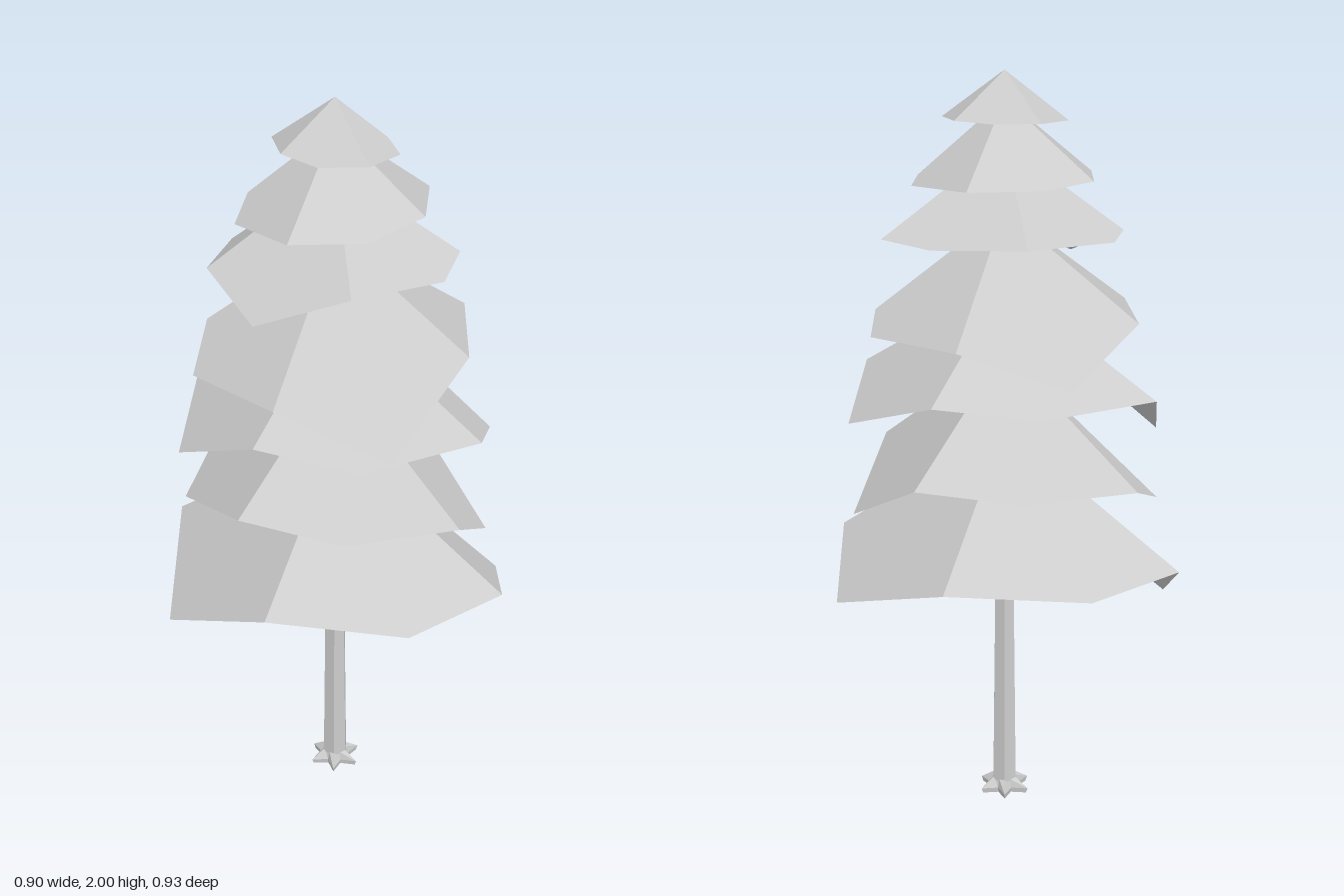
import * as THREE from 'three';

// Each tier: apex height, rim height, half of the rim as [x, z, drop, drop on the opposite side].
// Even points are ridges, odd points are the corners between them.
const TIERS = [
  [2.0, 1.88, [[0, 0.18], [0.11, 0.13], [0.145, 0], [0.11, -0.13]]],
  [1.93, 1.73, [[-0.22, 0.195], [-0.047, 0.27], [0.158, 0.175], [0.275, -0.015]]],
  [1.82, 1.585, [[-0.08, 0.25], [0.175, 0.247], [0.31, 0.09], [0.28, -0.12, 0, 0.08]]],
  [1.65, 1.37, [[-0.315, 0.31], [-0.05, 0.41, 0.16, 0.105], [0.25, 0.255], [0.41, -0.045]]],
  [1.46, 1.2, [[-0.31, 0.17], [-0.13, 0.4], [0.215, 0.39], [0.385, 0.155, 0.105, 0.15]]],
  [1.28, 0.975, [[-0.335, 0.12], [-0.15, 0.35], [0.15, 0.41], [0.35, 0.215, 0.155, 0.1]]],
  [1.07, 0.73, [[-0.32, 0.24], [-0.02, 0.465], [0.295, 0.4], [0.45, 0.12, 0.115, 0.175]]],
];

function fromTriangles(points) {
  const geo = new THREE.BufferGeometry().setFromPoints(points);
  geo.computeVertexNormals();
  return geo;
}

// Four folded panels around an apex, each shaded as one flat facet
function tierGeometry([top, rimY, half]) {
  const apex = new THREE.Vector3(0, top, 0);
  const rim = [
    ...half.map(([x, z, d = 0]) => new THREE.Vector3(x, rimY - d, z)),
    ...half.map(([x, z, , d = 0]) => new THREE.Vector3(-x, rimY - d, -z)),
  ];
  const points = [], normals = [];
  for (let i = 0; i < 8; i += 2) {
    const a = rim[i], c = rim[i + 1], b = rim[(i + 2) % 8];
    points.push(apex, a, c, apex, c, b);
    const n = c.clone().sub(apex).cross(b.clone().sub(a)).normalize();
    if (n.y < 0) n.negate();
    for (let k = 0; k < 6; k++) normals.push(n.x, n.y, n.z);
  }
  const geo = new THREE.BufferGeometry().setFromPoints(points);
  geo.setAttribute('normal', new THREE.Float32BufferAttribute(normals, 3));
  return geo;
}

// Six pointed star of roots spreading from the trunk foot
function rootGeometry() {
  const ring = (outer, inner, y0, y1) => Array.from({ length: 12 }, (_, i) => {
    const r = i % 2 ? inner : outer, a = i * Math.PI / 6 + Math.PI / 2;
    return new THREE.Vector3(r * Math.sin(a), i % 2 ? y1 : y0, r * Math.cos(a));
  });
  const rings = [ring(0.034, 0.03, 0.042, 0.038), ring(0.075, 0.037, 0.014, 0.014), ring(0.07, 0.035, 0, 0)];
  const points = [];
  for (let i = 0; i < 12; i++) {
    const j = (i + 1) % 12;
    for (let k = 0; k < 2; k++) {
      const [u, l] = [rings[k], rings[k + 1]];
      points.push(u[i], l[i], l[j], u[i], l[j], u[j]);
    }
    points.push(rings[2][j], rings[2][i], new THREE.Vector3());
  }
  return fromTriangles(points);
}

export function createModel() {
  const tree = new THREE.Group();
  tree.name = 'pineTree';
  const grey = new THREE.MeshStandardMaterial({ color: 0xcccccc, side: THREE.DoubleSide });
  grey.name = 'light grey';
  const add = (name, geo, parent = tree) => {
    const mesh = new THREE.Mesh(geo, grey);
    mesh.name = name;
    parent.add(mesh);
    return mesh;
  };

  // Hexagonal tapering trunk running up inside the foliage
  const trunk = new THREE.CylinderGeometry(0.012, 0.037, 1.94, 6).rotateY(Math.PI / 6).toNonIndexed();
  trunk.computeVertexNormals();
  add('trunk', trunk).position.y = 0.97;
  add('roots', rootGeometry());

  // Foliage tiers
  const foliage = new THREE.Group();
  foliage.name = 'foliage';
  tree.add(foliage);
  TIERS.forEach((tier, i) => add(`branchTier${i + 1}`, tierGeometry(tier), foliage));
  return tree;
}
